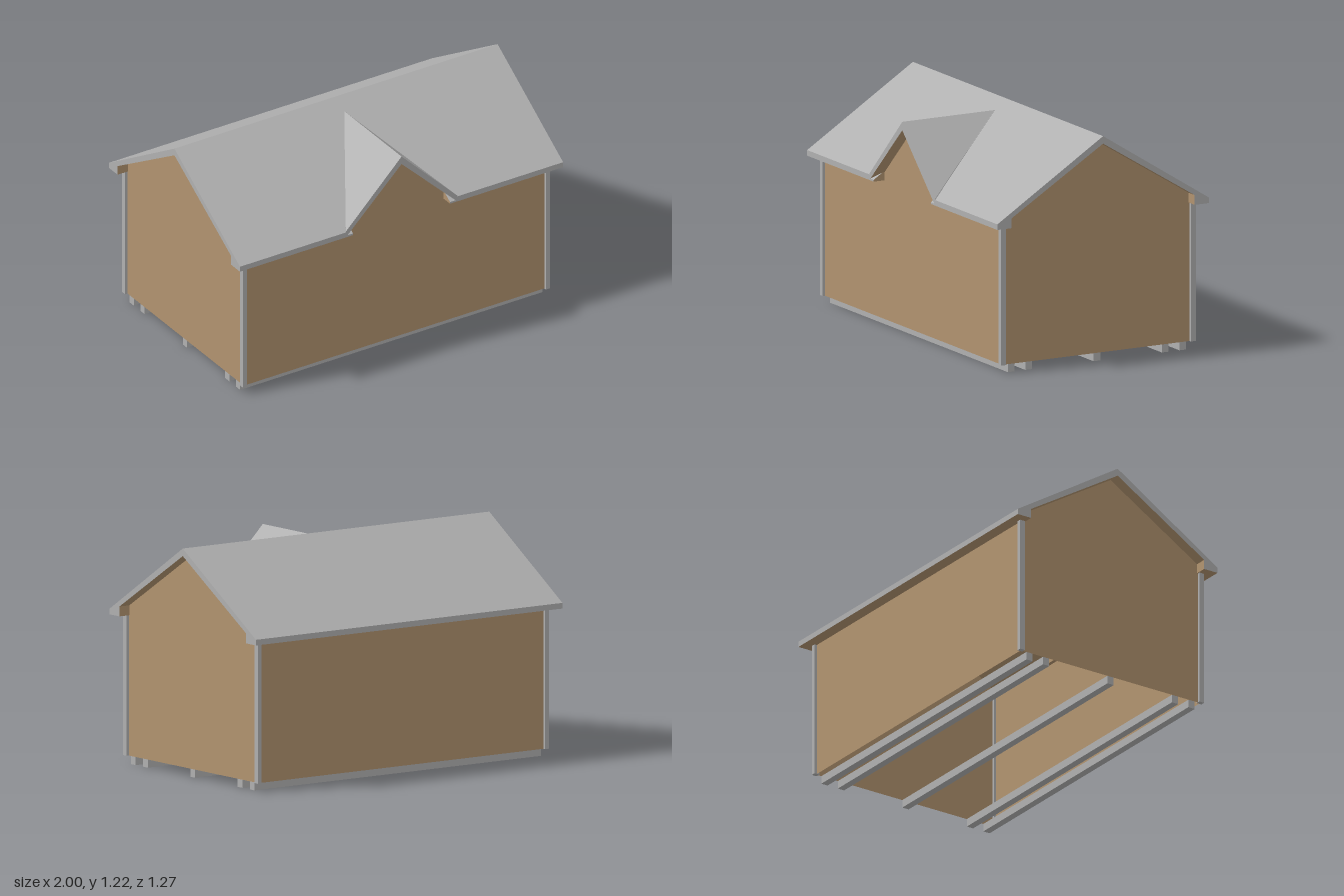
import * as THREE from 'three';

const grey = new THREE.MeshStandardMaterial({ color: 0xb0b0b0 });
grey.name = 'grey trim and roofing';
const brown = new THREE.MeshStandardMaterial({ color: 0xb1936f, side: THREE.DoubleSide });
brown.name = 'brown siding';

const EAVE_Z = 0.635, EAVE_INNER = 0.55, EAVE_BOTTOM = 0.785, DORMER_X = 0.345;
const WALL_X = 0.935, WALL_Z = 0.57, FLOOR = 0.043;

// Heights of the roof surfaces
const mainTop = (x, z) => 1.215 - 0.63 * Math.abs(z);
const dormerTop = (x) => 1.165 - Math.abs(x);

const shapeOf = (pts) => new THREE.Shape(pts.map(([x, y]) => new THREE.Vector2(x, y)));

function add(parent, name, geometry, material) {
  const mesh = new THREE.Mesh(geometry, material);
  mesh.name = name;
  parent.add(mesh);
  return mesh;
}

// Roof slab: plan outline (x, z) draped over a height rule, with a brown underside
function roofSlab(plan, height, thickness) {
  const geo = new THREE.ExtrudeGeometry(shapeOf(plan), { depth: thickness, bevelEnabled: false });
  const p = geo.attributes.position;
  for (let i = 0; i < p.count; i++) {
    const x = p.getX(i), z = p.getY(i);
    p.setXYZ(i, x, Math.max(height(x, z) - p.getZ(i), EAVE_BOTTOM), z);
  }
  const [caps, sides] = geo.groups;
  const half = caps.count / 2;
  geo.clearGroups();
  geo.addGroup(caps.start, half, 0);
  geo.addGroup(caps.start + half, half, 1);
  geo.addGroup(sides.start, sides.count, 0);
  geo.computeVertexNormals();
  return geo;
}

// Boxed eave from x0 to x1 on the side given by the sign s of z
function eave(x0, x1, s) {
  const geo = new THREE.BoxGeometry(x1 - x0, 0.05, EAVE_Z - EAVE_INNER);
  geo.translate((x0 + x1) / 2, EAVE_BOTTOM + 0.025, s * (EAVE_Z + EAVE_INNER) / 2);
  const p = geo.attributes.position;
  for (let i = 0; i < p.count; i++) {
    if (p.getY(i) > EAVE_BOTTOM + 0.01) p.setY(i, mainTop(0, p.getZ(i)) - 0.02);
  }
  geo.computeVertexNormals();
  return geo;
}

export function createModel() {
  const model = new THREE.Group();
  model.name = 'shed';

  // Floor skids
  for (const z of [-0.515, -0.41, 0, 0.41, 0.515]) {
    const skid = add(model, 'skid', new THREE.BoxGeometry(WALL_X * 2, FLOOR, 0.04), grey);
    skid.position.set(0, FLOOR / 2, z);
  }

  // Front wall rises into the dormer gable; back wall is plain
  const front = [[-WALL_X, FLOOR], [WALL_X, FLOOR], [WALL_X, 0.8], [0.31, 0.8], [0.31, 0.82],
    [0, 1.13], [-0.31, 0.82], [-0.31, 0.8], [-WALL_X, 0.8]];
  add(model, 'frontWall', new THREE.ShapeGeometry(shapeOf(front)), brown).position.z = WALL_Z;
  const back = [[-WALL_X, FLOOR], [WALL_X, FLOOR], [WALL_X, 0.8], [-WALL_X, 0.8]];
  const backWall = add(model, 'backWall', new THREE.ShapeGeometry(shapeOf(back)), brown);
  backWall.position.z = -WALL_Z;
  backWall.rotation.y = Math.PI;

  // Gable end walls and corner trim
  const gable = [[-WALL_Z, FLOOR], [WALL_Z, FLOOR], [WALL_Z, 0.83], [0, 1.18], [-WALL_Z, 0.83]];
  for (const s of [1, -1]) {
    const wall = add(model, s > 0 ? 'leftWall' : 'rightWall', new THREE.ShapeGeometry(shapeOf(gable)), brown);
    wall.position.x = s * WALL_X;
    wall.rotation.y = s * Math.PI / 2;
    for (const t of [1, -1]) {
      const trim = add(model, 'cornerTrim', new THREE.BoxGeometry(0.025, 0.8 - FLOOR, 0.03), grey);
      trim.position.set(s * 0.9375, (0.8 + FLOOR) / 2, t * 0.57);
    }
  }

  // Main roof, with a valley cut in the front slope for the dormer
  const valleyZ = 0.08;
  add(model, 'backRoof', roofSlab([[-1, -EAVE_Z], [1, -EAVE_Z], [1, 0], [-1, 0]], mainTop, 0.04), [grey, brown]);
  const frontPlan = [[-1, 0], [1, 0], [1, EAVE_Z], [DORMER_X, EAVE_Z], [0, valleyZ], [-DORMER_X, EAVE_Z], [-1, EAVE_Z]];
  add(model, 'frontRoof', roofSlab(frontPlan, mainTop, 0.04), [grey, brown]);

  // Dormer roof halves
  for (const s of [1, -1]) {
    const plan = [[0, valleyZ], [0, EAVE_Z], [s * DORMER_X, EAVE_Z]];
    add(model, 'dormerRoof', roofSlab(plan, dormerTop, 0.045), [grey, brown]);
  }

  // Eaves: box faces in order +x, -x, +y, -y, +z, -z
  add(model, 'backEave', eave(-1, 1, -1), [grey, grey, grey, brown, brown, grey]);
  add(model, 'frontEaveLeft', eave(0.3, 1, 1), [grey, brown, grey, brown, grey, brown]);
  add(model, 'frontEaveRight', eave(-1, -0.3, 1), [brown, grey, grey, brown, grey, brown]);

  return model;
}
